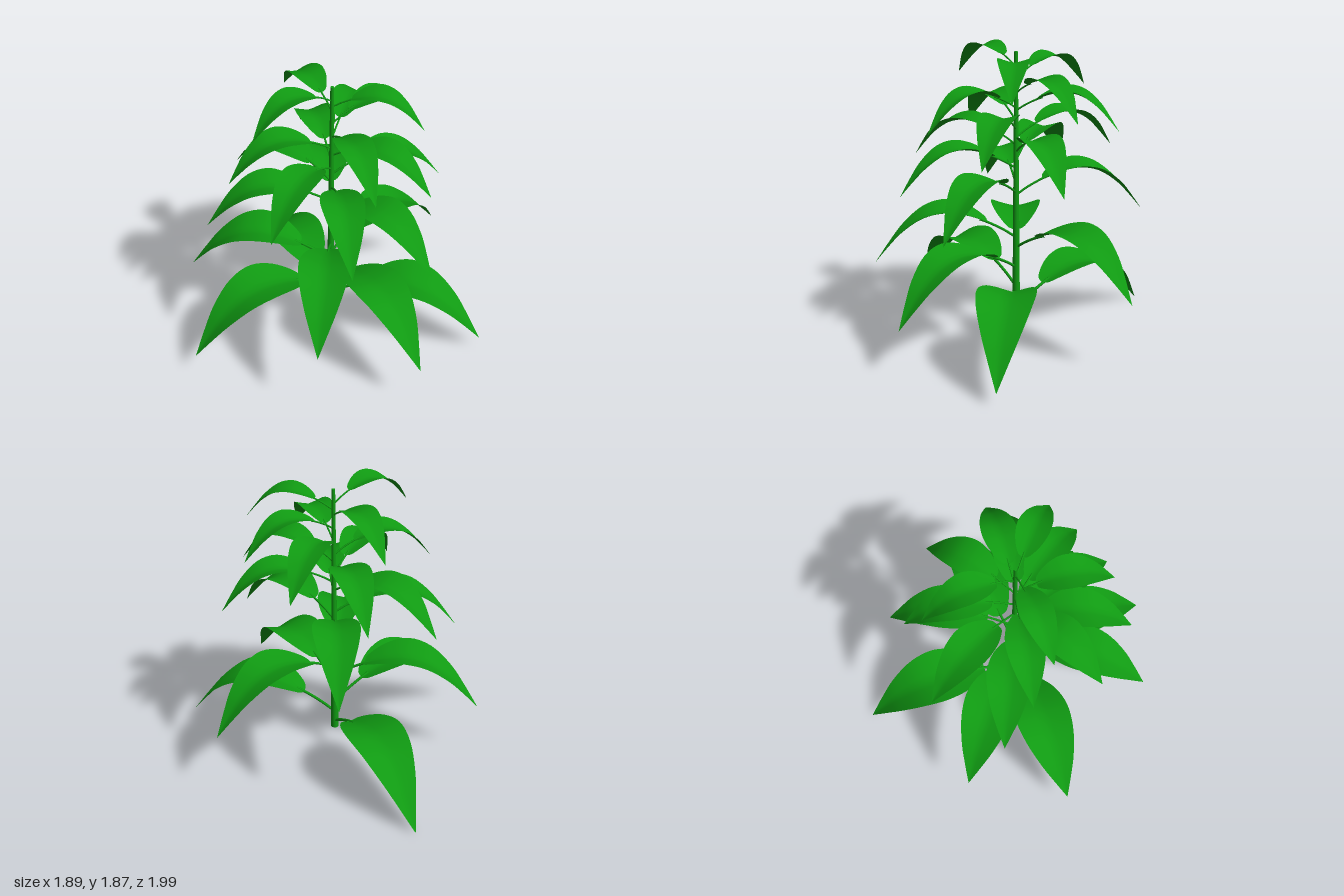
import * as THREE from 'three';

const AXIS = 0.05; // stem position on x and z

// Leaf tips as [x, y, z], from the lowest leaf to the highest
const TIPS = [
  [0.055, 0, -1], [0.785, 0.08, 0.75], [-0.95, 0.16, 0.1], [0.16, 0.3, 0.99],
  [-0.7, 0.375, -0.51], [0.945, 0.44, -0.115], [-0.44, 0.51, 0.79], [0.405, 0.8, -0.685],
  [0.335, 0.82, 0.785], [-0.67, 0.87, -0.25], [-0.19, 0.985, 0.745], [-0.3, 1.035, -0.595],
  [0.73, 1.095, 0.23], [-0.54, 1.14, 0.41], [0.18, 1.19, -0.615], [0.43, 1.245, 0.58],
  [-0.59, 1.295, -0.045], [0.54, 1.365, -0.355], [0, 1.385, 0.66], [0.635, 1.48, 0.055],
  [0.02, 1.57, -0.52], [0.47, 1.605, 0.4], [-0.49, 1.645, 0.1],
];

// Blade of unit reach: each point is half width, midrib height, distance from the stem
function bladeGeometry() {
  const spine = new THREE.CatmullRomCurve3([
    [0, 0.285, 0.205], [0.05, 0.288, 0.213], [0.1, 0.312, 0.27], [0.15, 0.343, 0.37], [0.176, 0.358, 0.5],
    [0.16, 0.325, 0.65], [0.11, 0.225, 0.8], [0.058, 0.12, 0.9], [0, 0, 1],
  ].map(p => new THREE.Vector3(...p)));
  const geo = new THREE.PlaneGeometry(1, 1, 8, 32);
  const pos = geo.attributes.position;
  for (let i = 0; i < pos.count; i++) {
    const u = pos.getX(i) * 2;
    const p = spine.getPoint(0.5 - pos.getY(i));
    const lift = 0.28 * p.x * Math.abs(u) ** 1.25; // edges fold up from the midrib
    pos.setXYZ(i, u * p.x, p.y + lift, p.z);
  }
  geo.computeVertexNormals();
  return geo;
}

// Stalk from the stem to just under the start of the blade
function stalkGeometry() {
  const path = new THREE.CatmullRomCurve3([
    [0, 0.165, 0], [0, 0.225, 0.09], [0, 0.284, 0.205], [0, 0.305, 0.26],
  ].map(p => new THREE.Vector3(...p)));
  return new THREE.TubeGeometry(path, 12, 0.009, 8);
}

export function createModel() {
  const model = new THREE.Group();
  model.name = 'plant';
  const green = new THREE.MeshStandardMaterial({ color: 0x109a12 });
  const leafGreen = new THREE.MeshStandardMaterial({ color: 0x109a12, side: THREE.DoubleSide });

  // Tapered stem
  const stem = new THREE.Mesh(new THREE.CylinderGeometry(0.011, 0.025, 1.7, 16), green);
  stem.name = 'stem';
  stem.position.set(AXIS, 0.98, AXIS);
  model.add(stem);

  // Leaves: one shape, turned and scaled so that it ends at each tip
  const blade = bladeGeometry();
  const stalk = stalkGeometry();
  TIPS.forEach(([x, y, z], i) => {
    const dx = x - AXIS, dz = z - AXIS;
    const leaf = new THREE.Group();
    leaf.name = `leaf${i + 1}`;
    const bladeMesh = new THREE.Mesh(blade, leafGreen);
    bladeMesh.name = 'leafBlade';
    const stalkMesh = new THREE.Mesh(stalk, green);
    stalkMesh.name = 'leafStalk';
    leaf.add(bladeMesh, stalkMesh);
    leaf.position.set(AXIS, y, AXIS);
    leaf.rotation.y = Math.atan2(dx, dz);
    leaf.scale.setScalar(Math.hypot(dx, dz));
    model.add(leaf);
  });
  return model;
}
